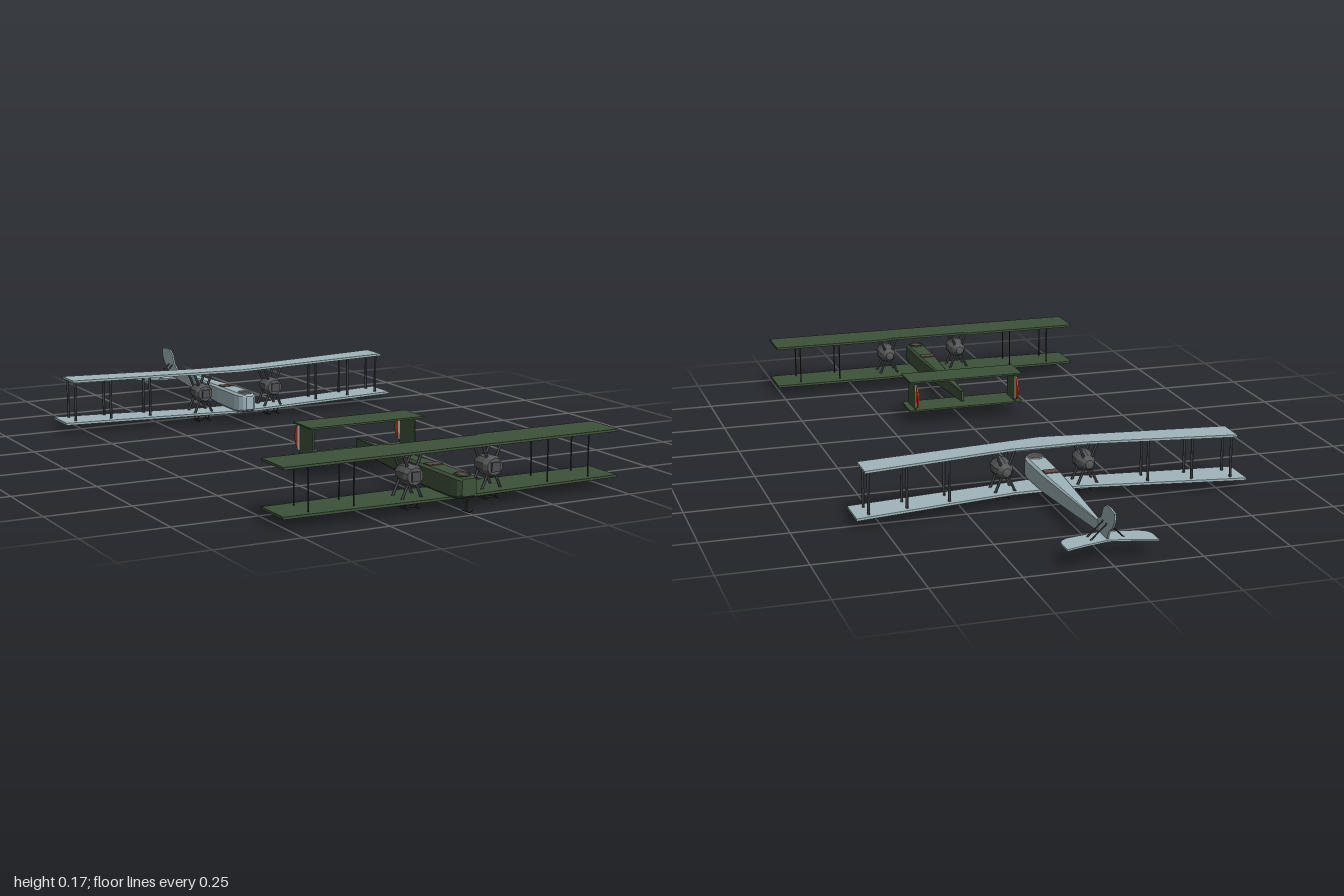
import * as THREE from 'three';

const mat = (color, double = false) => new THREE.MeshStandardMaterial({
  color, flatShading: true, side: double ? THREE.DoubleSide : THREE.FrontSide });
const GREEN = mat(0x3d5239), PALE = mat(0x9fb5bb), DARK = mat(0x2b2d2e), STEEL = mat(0x555657);
const GREY = mat(0x4a4d4f), BROWN = mat(0x5c4a44), RED = mat(0xd03a1c), WHITE = mat(0xe8e8e4);

function add(group, name, geometry, material) {
  const mesh = new THREE.Mesh(geometry, material);
  mesh.name = name;
  group.add(mesh);
  return mesh;
}

// Round bar between two points
function bar(group, name, a, b, r, material, sides = 6) {
  const p = new THREE.Vector3(...a), q = new THREE.Vector3(...b);
  const mesh = add(group, name, new THREE.CylinderGeometry(r, r, p.distanceTo(q), sides), material);
  mesh.position.copy(p).add(q).multiplyScalar(0.5);
  mesh.quaternion.setFromUnitVectors(new THREE.Vector3(0, 1, 0), q.sub(p).normalize());
}

// Horizontal plate: half outline of (x, z) mirrored across the centre line
function plate(group, name, half, y, thick, material) {
  const mirrored = half.filter(p => p[0] > 0).reverse().map(([x, z]) => [-x, z]);
  const shape = new THREE.Shape([...half, ...mirrored].map(p => new THREE.Vector2(...p)));
  const geo = new THREE.ExtrudeGeometry(shape, { depth: thick, bevelEnabled: false });
  geo.rotateX(Math.PI / 2).translate(0, y + thick / 2, 0);
  add(group, name, geo, material);
}

// Upright plate: outline of (z, y) at a given x
function upright(group, name, outline, x, thick, material) {
  const shape = new THREE.Shape(outline.map(p => new THREE.Vector2(...p)));
  const geo = new THREE.ExtrudeGeometry(shape, { depth: thick, bevelEnabled: false });
  geo.rotateY(-Math.PI / 2).translate(x + thick / 2, 0, 0);
  add(group, name, geo, material);
}

// Fuselage lofted from chamfered boxes, front to back: [z, bottom, top, half width]
function fuselage(group, sections, material) {
  const pos = [], index = [], n = 8;
  for (const [z, y0, y1, w] of sections) {
    const c = Math.min(w, (y1 - y0) / 2) * 0.22;
    for (const [x, y] of [[w, y0 + c], [w, y1 - c], [w - c, y1], [c - w, y1],
      [-w, y1 - c], [-w, y0 + c], [c - w, y0], [w - c, y0]]) pos.push(x, y, z);
  }
  for (let s = 0; s < sections.length - 1; s++) {
    for (let i = 0; i < n; i++) {
      const a = s * n + i, b = s * n + (i + 1) % n;
      index.push(a, a + n, b, b, a + n, b + n);
    }
  }
  const end = (sections.length - 1) * n;
  for (let i = 1; i < n - 1; i++) index.push(0, i, i + 1, end, end + i + 1, end + i);
  const geo = new THREE.BufferGeometry();
  geo.setAttribute('position', new THREE.Float32BufferAttribute(pos, 3));
  geo.setIndex(index);
  geo.computeVertexNormals();
  add(group, 'fuselage', geo, material);
}

// Round gunner opening in the nose and square opening behind the wing
function cockpits(group, noseZ, rearZ, rim) {
  const nose = add(group, 'noseCockpit', new THREE.CylinderGeometry(0.02, 0.02, 0.006, 16), BROWN);
  nose.position.set(0, 0.095, noseZ);
  const ring = add(group, 'noseCockpitRim', new THREE.TorusGeometry(0.021, 0.003, 6, 20), rim);
  ring.rotation.x = Math.PI / 2;
  ring.position.set(0, 0.098, noseZ);
  const rear = add(group, 'rearCockpit', new THREE.BoxGeometry(0.044, 0.006, 0.03), BROWN);
  rear.position.set(0, 0.0955, rearZ);
}

// Engine held between the wings by crossed struts, with skid gear below
function engines(group, z) {
  const profile = [[0, -0.048], [0.013, -0.046], [0.022, -0.03], [0.029, -0.005],
    [0.03, 0.025], [0.024, 0.04], [0, 0.042]].map(p => new THREE.Vector2(...p));
  for (const s of [-1, 1]) {
    const unit = new THREE.Group();
    unit.name = s > 0 ? 'leftEngine' : 'rightEngine';
    unit.position.set(s * 0.123, 0, z);
    group.add(unit);
    const body = new THREE.LatheGeometry(profile, 10).rotateX(Math.PI / 2);
    add(unit, 'engineBody', body, STEEL).position.y = 0.098;
    add(unit, 'radiator', new THREE.BoxGeometry(0.026, 0.026, 0.01), GREY).position.set(0, 0.098, 0.041);
    for (const dz of [-0.027, 0.022]) {
      for (const dx of [-1, 1]) {
        bar(unit, 'upperEngineStrut', [dx * 0.03, 0.16, dz], [dx * 0.012, 0.115, dz], 0.004, GREY);
        bar(unit, 'lowerEngineStrut', [dx * 0.03, 0.034, dz], [dx * 0.01, 0.08, dz], 0.004, GREY);
      }
    }
    for (const dx of [-0.018, 0.018]) {
      bar(unit, 'gearStrut', [dx, 0.034, 0.035], [dx, 0.009, 0.012], 0.0015, DARK);
      bar(unit, 'gearStrut', [dx, 0.034, -0.025], [dx, 0.009, 0.005], 0.0015, DARK);
      bar(unit, 'gearSkid', [dx, 0.009, -0.012], [dx, 0.009, 0.032], 0.002, DARK);
    }
    bar(unit, 'gearAxle', [-0.018, 0.009, 0.008], [0.018, 0.009, 0.008], 0.0025, DARK);
  }
}

// Pairs of struts between the wings; zs gives the depths at each x
function wingStruts(group, xs, zs, r, material) {
  for (const x of xs) for (const s of [-1, 1]) for (const z of zs(x))
    bar(group, 'wingStrut', [s * x, 0.034, z], [s * x, 0.16, z], r, material);
}

function greenBiplane() {
  const g = new THREE.Group();
  g.name = 'greenBiplane';
  fuselage(g, [[0.98, 0.046, 0.093, 0.022], [0.965, 0.038, 0.096, 0.029], [0.93, 0.034, 0.097, 0.03],
    [0.79, 0.035, 0.096, 0.029], [0.6, 0.045, 0.092, 0.018], [0.38, 0.055, 0.088, 0.004]], GREEN);
  cockpits(g, 0.945, 0.8, GREEN);
  plate(g, 'upperWing', [[0, 0.922], [0.515, 0.922], [0.515, 0.798], [0.145, 0.798],
    [0.125, 0.808], [0, 0.808]], 0.162, 0.007, GREEN);
  plate(g, 'lowerWing', [[0, 0.932], [0.515, 0.92], [0.515, 0.795], [0.14, 0.79], [0, 0.805]],
    0.033, 0.007, GREEN);
  wingStruts(g, [0.3, 0.433], () => [0.9, 0.82], 0.002, DARK);
  engines(g, 0.872);

  // Box tail with two fins and striped rudders
  for (const y of [0.05, 0.143])
    plate(g, 'tailplane', [[0, 0.443], [0.185, 0.443], [0.185, 0.335], [0, 0.335]], y, 0.005, GREEN);
  const curve = (a, b) => Array.from({ length: 9 }, (_, i) => {
    const t = a + (b - a) * i / 8;
    return [0.337 - 0.025 * Math.cos(t), 0.097 + 0.037 * Math.sin(t)];
  });
  for (const x of [-0.165, 0.165]) {
    upright(g, 'tailFin', [[0.425, 0.05], [0.425, 0.145], [0.342, 0.145], [0.342, 0.05]], x, 0.004, GREEN);
    upright(g, 'rudderStripe', [[0.342, 0.06], [0.342, 0.134], [0.331, 0.134], [0.331, 0.06]], x, 0.004, WHITE);
    upright(g, 'rudderTip', curve(Math.PI / 2 - 0.25, -Math.PI / 2 + 0.25), x, 0.0045, RED);
  }
  // Nose skid
  bar(g, 'noseSkidStrut', [0, 0.036, 0.968], [0, 0.005, 0.97], 0.0015, DARK);
  bar(g, 'noseSkidStrut', [0, 0.036, 0.945], [0, 0.005, 0.97], 0.0015, DARK);
  bar(g, 'noseSkid', [0, 0.0015, 0.945], [0, 0.003, 0.985], 0.0015, DARK);
  bar(g, 'noseSkidTip', [0, 0.003, 0.985], [0, 0.014, 0.999], 0.0015, DARK);
  return g;
}

function paleBiplane() {
  const g = new THREE.Group();
  g.name = 'paleBiplane';
  fuselage(g, [[-0.318, 0.048, 0.09, 0.012], [-0.325, 0.043, 0.094, 0.021], [-0.34, 0.037, 0.096, 0.028],
    [-0.37, 0.034, 0.097, 0.031], [-0.5, 0.036, 0.096, 0.029], [-0.7, 0.046, 0.091, 0.016],
    [-0.88, 0.056, 0.086, 0.004]], PALE);
  cockpits(g, -0.352, -0.49, PALE);
  // Swept wings
  plate(g, 'upperWing', [[0, -0.38], [0.547, -0.444], [0.547, -0.533], [0.11, -0.466], [0, -0.466]],
    0.162, 0.007, PALE);
  plate(g, 'lowerWing', [[0, -0.365], [0.575, -0.434], [0.575, -0.545], [0.1, -0.468], [0, -0.468]],
    0.033, 0.007, PALE);
  wingStruts(g, [0.295, 0.422, 0.535], x => [-0.395 - 0.118 * x, -0.437 - 0.155 * x], 0.004, GREY);
  engines(g, -0.425);

  // Tail
  plate(g, 'tailplane', [[0, -0.888], [0.1, -0.908], [0.12, -0.922], [0.127, -0.94], [0.127, -0.99],
    [0.07, -0.972], [0, -0.955]], 0.055, 0.005, PALE);
  upright(g, 'tailFin', [[-0.87, 0.06], [-0.87, 0.086], [-0.9, 0.104], [-0.915, 0.135], [-0.935, 0.147],
    [-0.965, 0.149], [-1, 0.144], [-0.997, 0.12], [-0.985, 0.1], [-0.96, 0.084], [-0.945, 0.056]],
  0, 0.005, PALE);
  for (const s of [-1, 1]) for (const z of [-0.915, -0.942])
    bar(g, 'tailStrut', [s * 0.047, 0.056, z], [0, 0.1, z], 0.002, DARK);
  return g;
}

export function createModel() {
  const model = new THREE.Group();
  model.name = 'biplanePair';
  model.add(greenBiplane(), paleBiplane());
  return model;
}
